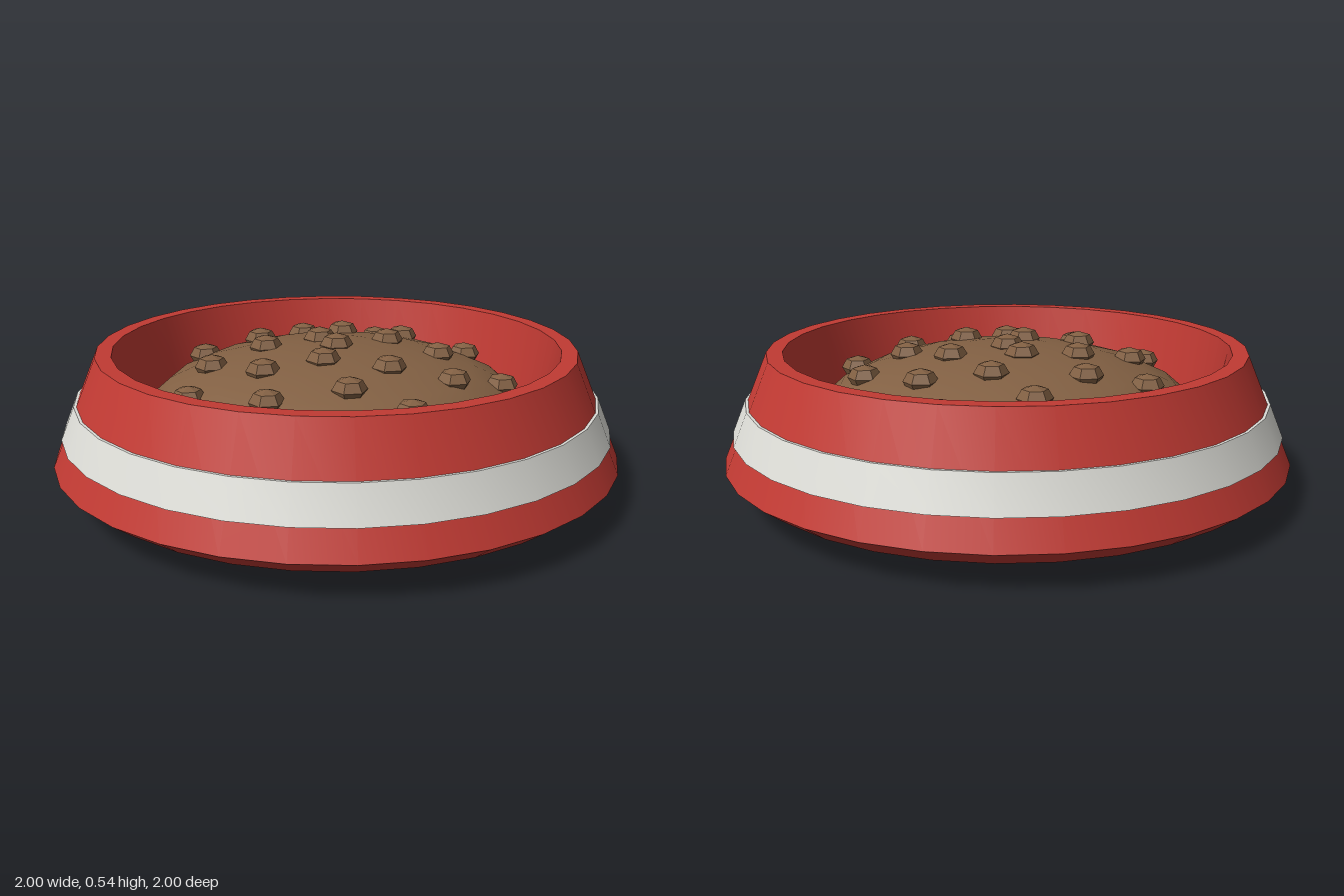
import * as THREE from 'three';
import { toCreasedNormals } from 'three/addons/utils/BufferGeometryUtils.js';

const mat = (name, color) => {
  const m = new THREE.MeshStandardMaterial({ color });
  m.name = name;
  return m;
};

export function createModel() {
  const red = mat('red', 0xc13a33);
  const silver = mat('silver', 0xdcdcd6);
  const brown = mat('brown', 0x826043);

  const model = new THREE.Group();
  model.name = 'petFoodBowl';

  const add = (name, geometry, material) => {
    const mesh = new THREE.Mesh(geometry, material);
    mesh.name = name;
    model.add(mesh);
    return mesh;
  };
  // Turned part: smooth around, sharp between bands
  const turned = (points) => toCreasedNormals(
    new THREE.LatheGeometry(points.map(([r, y]) => new THREE.Vector2(r, y)), 32), 0.5);

  // Bowl: underside, chamfer, sloped wall, rim, inner wall and floor
  add('bowl', turned([
    [0, 0.07], [0.92, 0.07], [1, 0.13], [0.84, 0.505],
    [0.785, 0.505], [0.72, 0.2], [0, 0.2],
  ]), red);

  // Thin band around the outer wall
  add('stripe', turned([
    [0.955, 0.225], [0.968, 0.225], [0.92, 0.34], [0.907, 0.34],
  ]), silver);

  // Mound of food, a flattened ball that also shows below the bowl
  const R = 0.69, H = 0.25;
  const mound = add('foodMound', new THREE.SphereGeometry(1, 20, 12), brown);
  mound.scale.set(R, H, R);
  mound.position.y = H;

  // Food pieces in a sunflower spiral over the mound
  const pieceGeometry = toCreasedNormals(
    new THREE.SphereGeometry(0.06, 6, 4).rotateY(Math.PI / 6).scale(1, 0.72, 1), 0.3);
  for (let i = 0; i < 22; i++) {
    const r = 0.1277 * Math.sqrt(i), a = 2.4 * i;
    const y = H + H * Math.sqrt(1 - (r / R) ** 2);
    add('foodPiece', pieceGeometry, brown)
      .position.set(r * Math.cos(a), y, -r * Math.sin(a));
  }
  return model;
}
